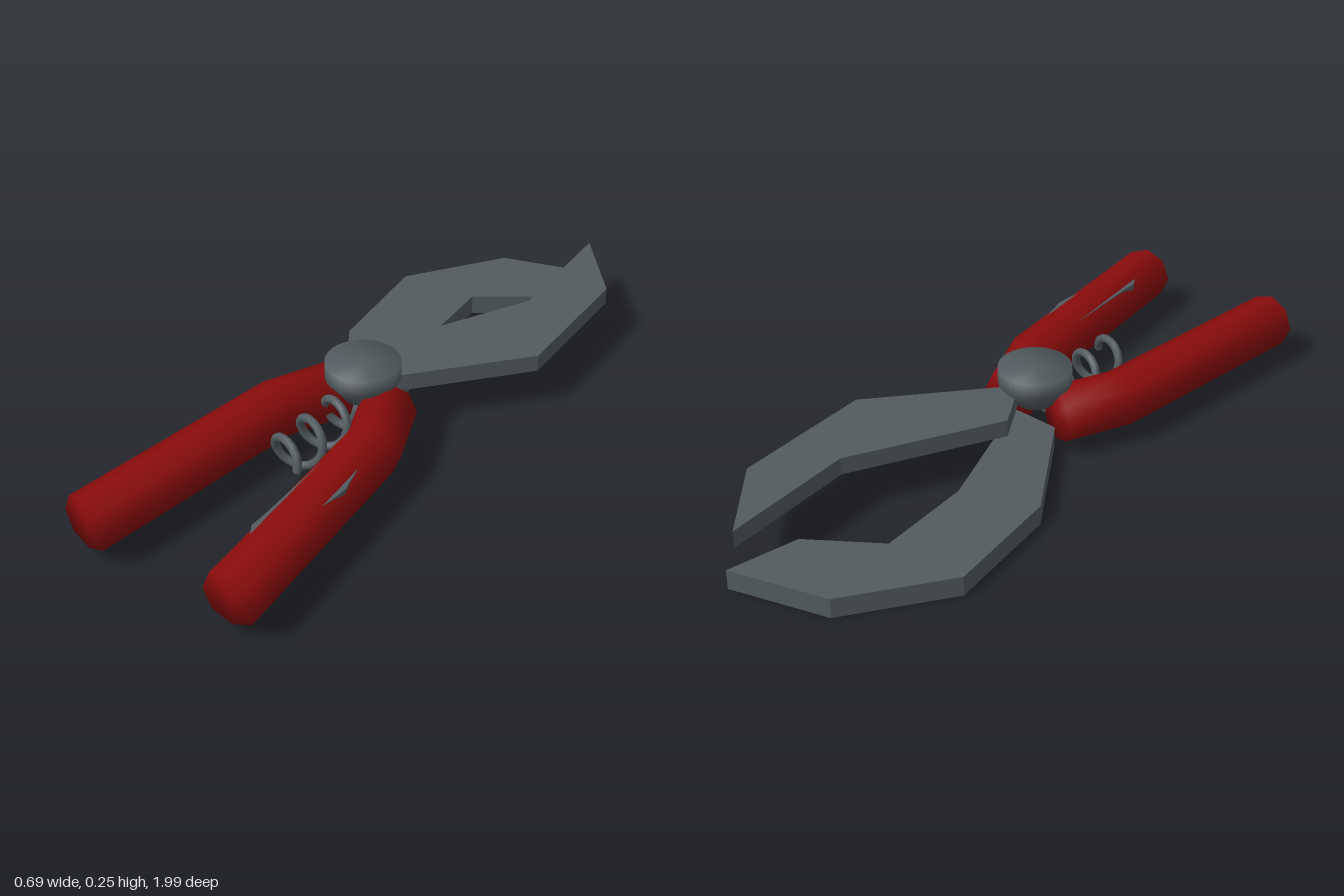
import * as THREE from 'three';
import { mergeVertices } from 'three/addons/utils/BufferGeometryUtils.js';

const steel = new THREE.MeshStandardMaterial({ color: 0x525b5f });
steel.name = 'steel';
const red = new THREE.MeshStandardMaterial({ color: 0x8c0c0c });
red.name = 'red grip';

function addMesh(group, name, geometry, material) {
  const mesh = new THREE.Mesh(geometry, material);
  mesh.name = name;
  group.add(mesh);
  return mesh;
}

// Flat plate cut from an [x, z] outline, lying between two heights
function plate(outline, y0, y1) {
  const shape = new THREE.Shape(outline.map(([x, z]) => new THREE.Vector2(x, -z)));
  const g = new THREE.ExtrudeGeometry(shape, { depth: y1 - y0, bevelEnabled: false });
  g.rotateX(-Math.PI / 2);
  g.translate(0, y0, 0);
  return g;
}

// Smooth eight-sided grip swept along an [x, z] path, closed at both ends
function grip(path, y, r) {
  const pts = path.map(([x, z]) => new THREE.Vector2(x, z));
  const n = 8, pos = [], idx = [];
  const dirs = pts.slice(1).map((p, i) => p.clone().sub(pts[i]).normalize());
  pts.forEach((p, i) => {
    const a = dirs[Math.max(i - 1, 0)], b = dirs[Math.min(i, dirs.length - 1)];
    const d = a.clone().add(b).normalize();
    const miter = 1 / d.dot(b);
    for (let k = 0; k < n; k++) {
      const t = (k / n) * Math.PI * 2;
      const w = Math.cos(t) * r * miter;
      pos.push(p.x + d.y * w, y + Math.sin(t) * r, p.y - d.x * w);
    }
  });
  for (let i = 0; i < pts.length - 1; i++) {
    for (let k = 0; k < n; k++) {
      const a = i * n + k, b = i * n + (k + 1) % n;
      idx.push(a, b, a + n, b, b + n, a + n);
    }
  }
  // End caps
  const first = pts.length * n, last = first + 1, base = (pts.length - 1) * n;
  const end = pts[pts.length - 1];
  pos.push(pts[0].x, y, pts[0].y, end.x, y, end.y);
  for (let k = 0; k < n; k++) {
    const j = (k + 1) % n;
    idx.push(first, j, k, last, base + k, base + j);
  }
  const g = new THREE.BufferGeometry();
  g.setAttribute('position', new THREE.Float32BufferAttribute(pos, 3));
  g.setIndex(idx);
  g.computeVertexNormals();
  return g;
}

// Coil spring path along z
class Coil extends THREE.Curve {
  getPoint(t, target = new THREE.Vector3()) {
    const a = (1 - t) * 3.1 * Math.PI * 2;
    return target.set(Math.cos(a) * 0.061, 0.12 + Math.sin(a) * 0.061, 0.13 + t * 0.35);
  }
}

export function createModel() {
  const model = new THREE.Group();
  model.name = 'pliers';

  // Jaws
  addMesh(model, 'lowerJaw', plate([
    [0.145, -1], [-0.15, -0.905], [-0.35, -0.61], [-0.3, -0.235], [-0.075, 0.1],
    [0.085, 0.1], [-0.077, -0.33], [-0.1, -0.635], [0.1, -0.78],
  ], 0, 0.063), steel);
  addMesh(model, 'upperJaw', plate([
    [0.13, -0.975], [0.16, -0.555], [-0.065, -0.105], [0.02, 0.04],
    [0.053, 0.04], [0.345, -0.31], [0.32, -0.757],
  ], 0.13, 0.184), steel);

  // Handle core, just breaking through the grip in two places
  addMesh(model, 'handleCore', plate([
    [0.12, 0.15], [0.16, 0.15], [0.266, 0.53], [0.266, 0.57],
    [0.24, 0.85], [0.2, 0.85], [0.16, 0.79], [0.16, 0.74],
  ], 0.13, 0.184), steel);

  // Grips
  for (const [name, s] of [['leftGrip', 1], ['rightGrip', -1]]) {
    const path = [[s * 0.087, 0.092], [s * 0.172, 0.287], [s * 0.25, 0.983]];
    addMesh(model, name, grip(path, 0.119, 0.086), red);
  }

  // Pivot rivet with softly shaded head
  const profile = [[0, 0.133], [0.06, 0.133], [0.075, 0.155], [0.111, 0.2], [0.111, 0.25], [0, 0.25]];
  let rivet = new THREE.LatheGeometry(profile.map(([x, y]) => new THREE.Vector2(x, y)), 32);
  rivet.deleteAttribute('uv');
  rivet.deleteAttribute('normal');
  rivet = mergeVertices(rivet);
  rivet.computeVertexNormals();
  addMesh(model, 'pivot', rivet, steel).position.z = 0.095;

  // Return spring with closed wire end
  addMesh(model, 'spring', new THREE.TubeGeometry(new Coil(), 56, 0.013, 8), steel);
  addMesh(model, 'springEnd', new THREE.SphereGeometry(0.013, 8, 6), steel).position.set(0.061, 0.12, 0.48);

  return model;
}
